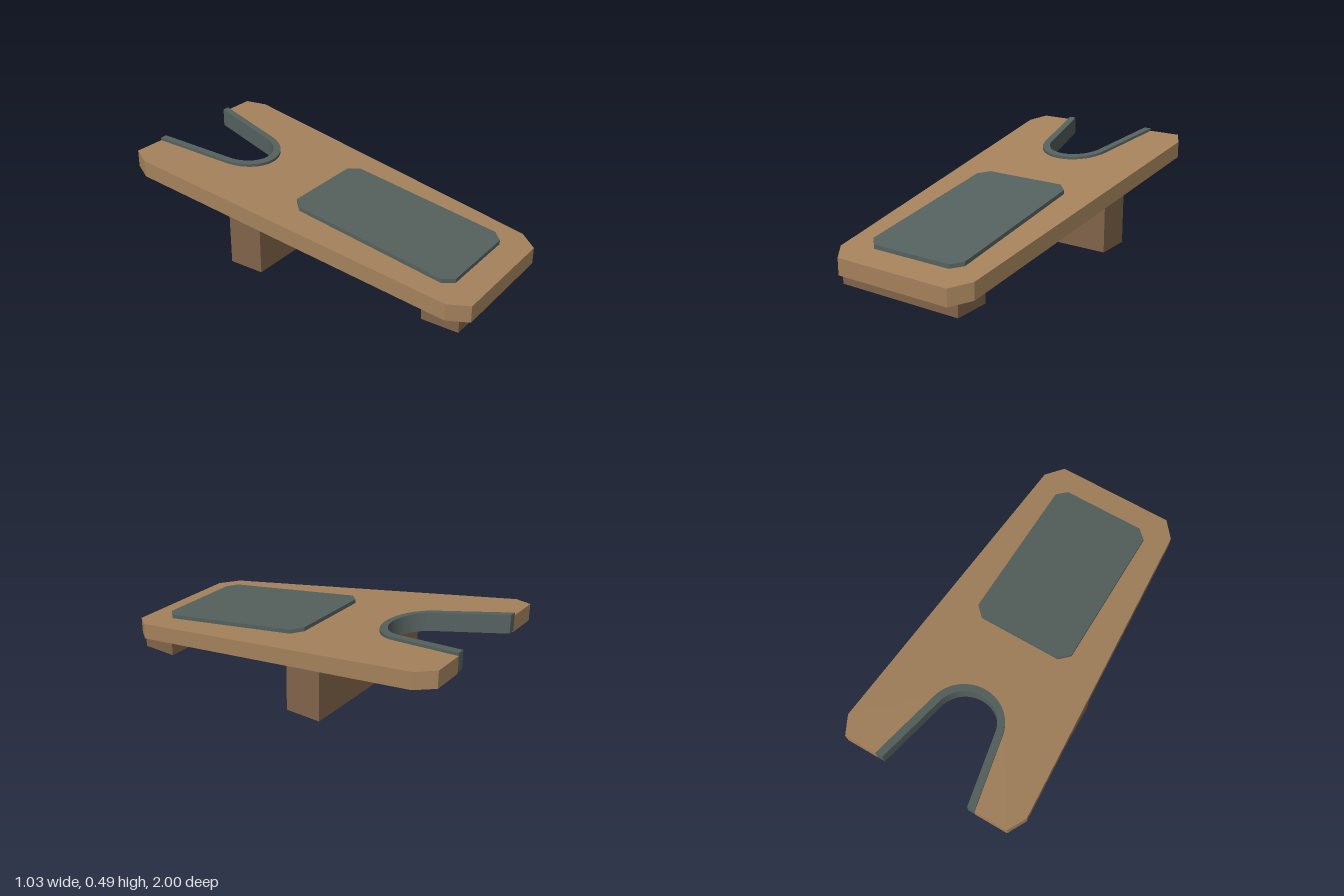
import * as THREE from 'three';

const SLOPE = 0.16;      // rise of the board per unit towards the back
const UNDERSIDE = 0.225; // height of the board's underside at z = 0
const THICK = 0.09;

const wood = new THREE.MeshStandardMaterial({ color: 0xa5825c });
const darkWood = new THREE.MeshStandardMaterial({ color: 0x80644a });
const rubber = new THREE.MeshStandardMaterial({ color: 0x55615e });

// Extrudes an outline of [x, z] points upwards, then shears it along the slope
function slopedSlab(name, outline, from, to, material) {
  const shape = new THREE.Shape(outline.map(([x, z]) => new THREE.Vector2(x, -z)));
  const geo = new THREE.ExtrudeGeometry(shape, { depth: to - from, bevelEnabled: false });
  geo.rotateX(-Math.PI / 2);
  const p = geo.attributes.position;
  for (let i = 0; i < p.count; i++) {
    p.setY(i, p.getY(i) + UNDERSIDE + from - SLOPE * p.getZ(i));
  }
  geo.computeVertexNormals();
  const mesh = new THREE.Mesh(geo, material);
  mesh.name = name;
  return mesh;
}

// U-shaped notch edge: flared straight sides tangent to a round end
function notch(r) {
  const flare = 0.2, zc = -0.64, n = 28, pts = [];
  for (let i = 0; i <= n; i++) {
    const a = flare + (Math.PI - 2 * flare) * i / n;
    pts.push([r * Math.cos(a), zc + r * Math.sin(a)]);
  }
  const [x, z] = pts[0];
  const xEnd = x + (z + 1) * Math.tan(flare);
  return [[xEnd, -1], ...pts, [-xEnd, -1]];
}

// Block standing on the ground, its top cut to the slope of the board
function foot(name, halfWidth, zBack, zFront) {
  const geo = new THREE.BoxGeometry(2 * halfWidth, 1, zFront - zBack);
  geo.translate(0, 0.5, (zFront + zBack) / 2);
  const p = geo.attributes.position;
  for (let i = 0; i < p.count; i++) {
    if (p.getY(i) > 0.5) p.setY(i, UNDERSIDE + 0.005 - SLOPE * p.getZ(i));
  }
  geo.computeVertexNormals();
  const mesh = new THREE.Mesh(geo, darkWood);
  mesh.name = name;
  return mesh;
}

export function createModel() {
  const group = new THREE.Group();
  group.name = 'bootJack';

  // Tapered board with clipped corners and a heel notch at the back
  const side = [[0.46, -1], [0.513, -0.9], [0.41, 0.9], [0.333, 1]];
  const mirrored = side.map(([x, z]) => [-x, z]).reverse();
  const board = [...side, ...mirrored, ...notch(0.205).reverse()];
  group.add(slopedSlab('board', board, 0, THICK, wood));

  // Lining of the notch
  const lining = [...notch(0.205), ...notch(0.165).reverse()];
  group.add(slopedSlab('notchLining', lining, 0.006, THICK + 0.015, rubber));

  // Tread pad with clipped corners
  const w = 0.283, c = 0.053, back = -0.09, front = 0.855;
  const pad = [
    [w - c, back], [w, back + c], [w, front - c], [w - c, front],
    [c - w, front], [-w, front - c], [-w, back + c], [c - w, back],
  ];
  group.add(slopedSlab('treadPad', pad, THICK, THICK + 0.022, rubber));

  // Cross bars under the board
  group.add(foot('frontFoot', 0.355, 0.745, 0.95));
  group.add(foot('rearFoot', 0.463, -0.355, -0.155));
  return group;
}
